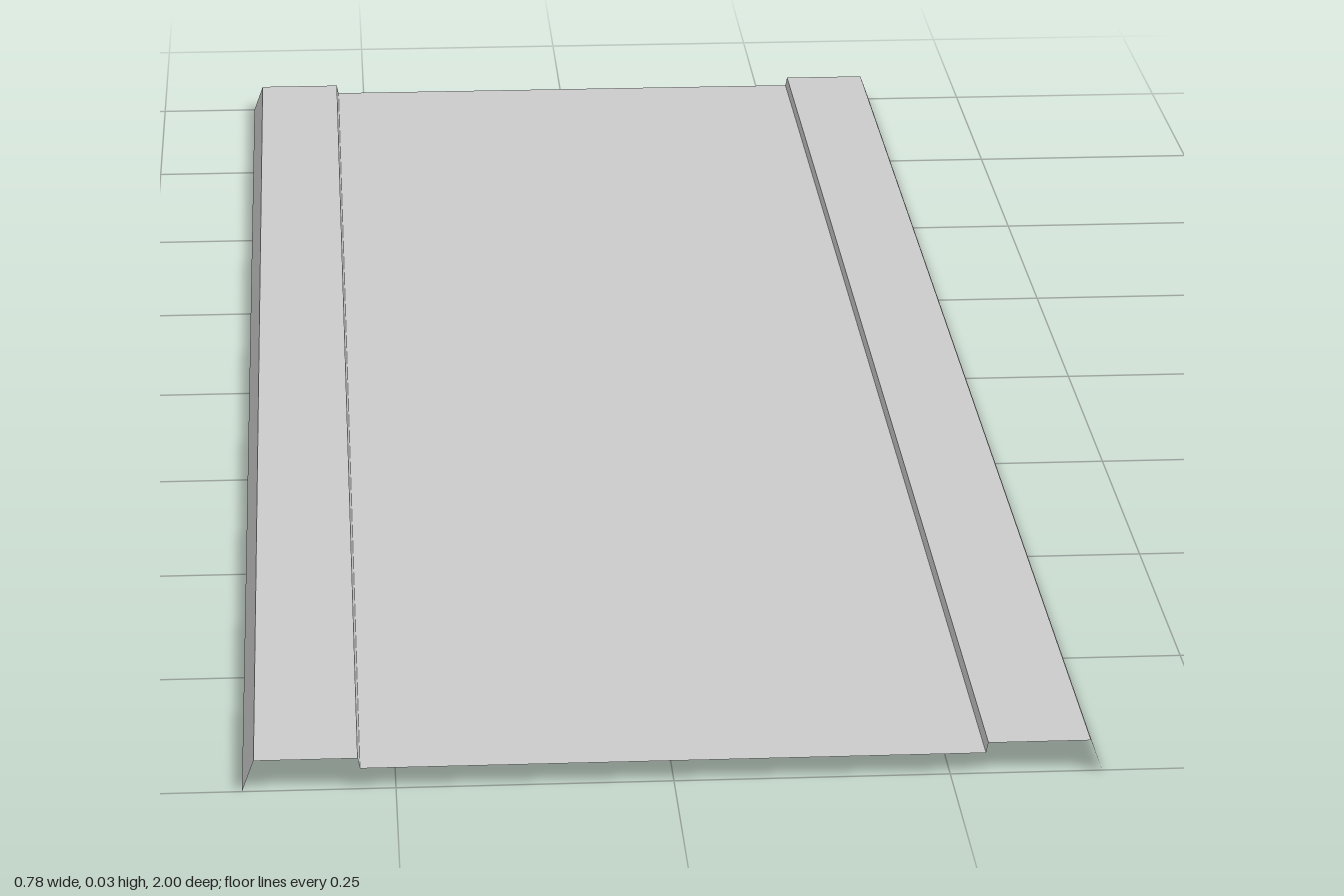
import * as THREE from 'three';

const LENGTH = 2;
const material = new THREE.MeshStandardMaterial({ color: 0xcccccc, side: THREE.DoubleSide });

// Flat sheet strip running along z, between two points of the cross-section
function strip(name, [x0, y0], [x1, y1]) {
  const geometry = new THREE.PlaneGeometry(Math.hypot(x1 - x0, y1 - y0), LENGTH);
  geometry.rotateX(-Math.PI / 2);
  geometry.rotateZ(Math.atan2(y1 - y0, x1 - x0));
  geometry.translate((x0 + x1) / 2, (y0 + y1) / 2, 0);
  const mesh = new THREE.Mesh(geometry, material);
  mesh.name = name;
  return mesh;
}

export function createModel() {
  const group = new THREE.Group();
  group.name = 'foldedSheetPanel';

  // Half cross-section, from the panel edge out to the bottom of the lip
  const profile = [[0.282, 0.02], [0.284, 0.03], [0.377, 0.03], [0.388, 0]];
  const names = ['Step', 'Flange', 'Lip'];

  // Recessed middle panel
  const [edgeX, edgeY] = profile[0];
  group.add(strip('panel', [-edgeX, edgeY], [edgeX, edgeY]));

  // Raised flanges with turned-down lips on both sides
  names.forEach((name, i) => {
    const [a, b] = [profile[i], profile[i + 1]];
    group.add(strip('left' + name, a, b));
    group.add(strip('right' + name, [-b[0], b[1]], [-a[0], a[1]]));
  });
  return group;
}
